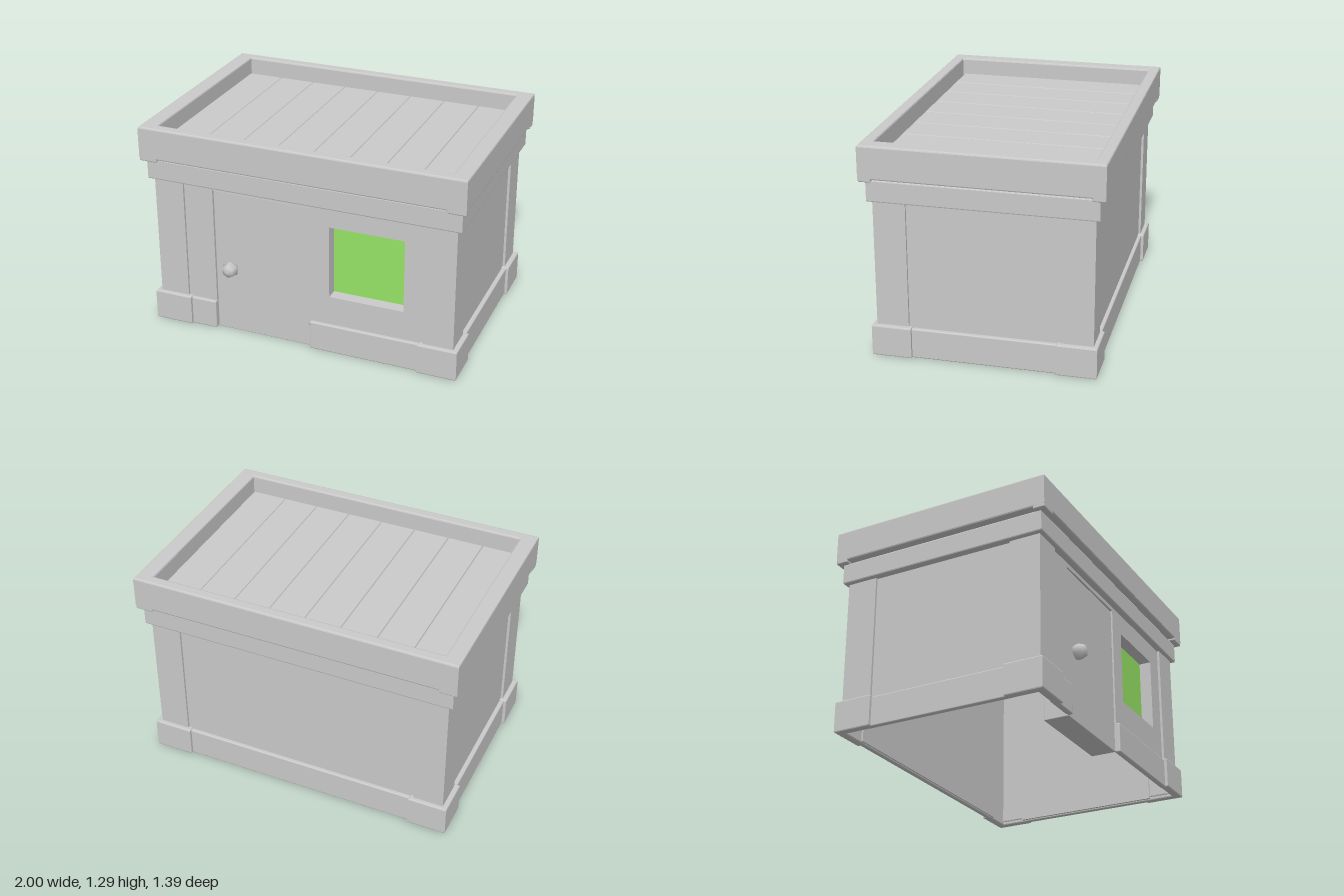
import * as THREE from 'three';
import { RoundedBoxGeometry } from 'three/addons/geometries/RoundedBoxGeometry.js';

const wallGray = new THREE.MeshStandardMaterial({ color: 0xcacaca });
wallGray.name = 'wall gray';
const glassGreen = new THREE.MeshStandardMaterial({ color: 0x97e466 });
glassGreen.name = 'glass green';

export function createModel() {
  const model = new THREE.Group();
  model.name = 'hut';

  const add = (name, geometry, material = wallGray) => {
    const mesh = new THREE.Mesh(geometry, material);
    mesh.name = name;
    model.add(mesh);
    return mesh;
  };

  // Box given by its limits, optionally with rounded edges
  const box = (name, [x0, x1], [y0, y1], [z0, z1], r = 0, material = wallGray) => {
    const size = [x1 - x0, y1 - y0, z1 - z0];
    const geo = r ? new RoundedBoxGeometry(...size, 2, r) : new THREE.BoxGeometry(...size);
    geo.translate((x0 + x1) / 2, (y0 + y1) / 2, (z0 + z1) / 2);
    return add(name, geo, material);
  };

  const polygon = (points) => new THREE.Shape(points.map(([x, y]) => new THREE.Vector2(x, y)));
  const rect = (x0, x1, y0, y1) => [[x0, y0], [x1, y0], [x1, y1], [x0, y1]];

  // Upright extrusion of a plan shape, with small bevels
  const rise = (name, shape, y0, y1, b = 0.008) => {
    const geo = new THREE.ExtrudeGeometry(shape, {
      depth: y1 - y0 - 2 * b, bevelEnabled: true, bevelThickness: b,
      bevelSize: b, bevelOffset: -b, bevelSegments: 2,
    });
    geo.rotateX(-Math.PI / 2).translate(0, y0 + b, 0);
    return add(name, geo);
  };

  // Rectangular ring lying flat
  const ring = (name, ox, oz, ix, iz, y0, y1, b) => {
    const shape = polygon(rect(-ox, ox, -oz, oz));
    shape.holes.push(polygon(rect(-ix, ix, -iz, iz)));
    return rise(name, shape, y0, y1, b);
  };

  // Thin L-shaped corner piece
  const corner = (name, sx, sz, ox, oz, ix, iz, t, y0, y1) => rise(name, polygon([
    [ox, oz], [ix, oz], [ix, oz - t], [ox - t, oz - t], [ox - t, iz], [ox, iz],
  ].map(([x, z]) => [x * sx, z * sz])), y0, y1);

  for (const sx of [-1, 1]) {
    for (const sz of [-1, 1]) {
      corner('cornerPost', sx, sz, 0.94, 0.635, 0.755, 0.445, 0.025, 0.02, 0.97);
      corner('cornerFoot', sx, sz, 0.97, 0.66, 0.73, 0.425, 0.05, 0, 0.19);
      // Small drops under the rim corners
      const xs = [0.89 * sx, sx].sort((a, b) => a - b);
      const zs = [0.62 * sz, 0.695 * sz].sort((a, b) => a - b);
      box('rimCornerDrop', xs, [1.075, 1.12], zs, 0.008);
    }
    // Side walls and their base boards
    const span = (a, b) => [a * sx, b * sx].sort((p, q) => p - q);
    box('sideWall', span(0.905, 0.925), [0.01, 0.97], [-0.46, 0.46]);
    box('sideBaseBoard', span(0.92, 0.952), [0, 0.182], [-0.44, 0.44], 0.008);
  }

  box('backWall', [-0.77, 0.77], [0.01, 0.97], [-0.62, -0.6]);
  box('backBaseBoard', [-0.74, 0.74], [0, 0.182], [-0.642, -0.61], 0.008);

  // Front wall with door notch and window opening
  const front = polygon([
    [-0.77, 0.01], [-0.57, 0.01], [-0.57, 0.925], [0.05, 0.925],
    [0.05, 0.01], [0.77, 0.01], [0.77, 0.97], [-0.77, 0.97],
  ]);
  front.holes.push(polygon(rect(0.17, 0.63, 0.365, 0.82)));
  add('frontWall', new THREE.ExtrudeGeometry(front, { depth: 0.02, bevelEnabled: false })
    .translate(0, 0, 0.6));
  box('frontBaseBoardRight', [-0.74, -0.57], [0, 0.182], [0.61, 0.642], 0.008);
  box('frontBaseBoardLeft', [0.05, 0.74], [0, 0.182], [0.61, 0.642], 0.008);

  // Deep door block with a faceted knob
  box('door', [-0.568, 0.048], [0, 0.923], [0.46, 0.612], 0.005);
  const knob = add('doorKnob', new THREE.SphereGeometry(0.052, 6, 4).rotateX(Math.PI / 2));
  knob.rotation.z = Math.PI / 6;
  knob.position.set(-0.465, 0.425, 0.635);

  // Window reveal and pane
  const reveal = polygon(rect(0.155, 0.645, 0.35, 0.835));
  reveal.holes.push(polygon(rect(0.17, 0.63, 0.365, 0.82)));
  add('windowReveal', new THREE.ExtrudeGeometry(reveal, { depth: 0.07, bevelEnabled: false })
    .translate(0, 0, 0.54));
  box('windowPane', [0.165, 0.635], [0.36, 0.825], [0.538, 0.546], 0, glassGreen);

  // Cornice, roof rim and deck
  ring('cornice', 0.97, 0.66, 0.89, 0.58, 0.95, 1.08);
  ring('corniceNeck', 0.95, 0.64, 0.88, 0.57, 1.06, 1.11, 0.004);
  ring('roofRim', 1, 0.695, 0.9, 0.627, 1.09, 1.288, 0.01);
  box('roofDeck', [-0.92, 0.92], [1.1, 1.17], [-0.64, 0.64]);
  for (let i = 0; i < 8; i++) {
    const x = -0.9 + i * 0.224;
    box('roofPlank', [x, x + 0.223], [1.15, 1.185], [-0.615, 0.615], 0.008);
  }

  return model;
}
